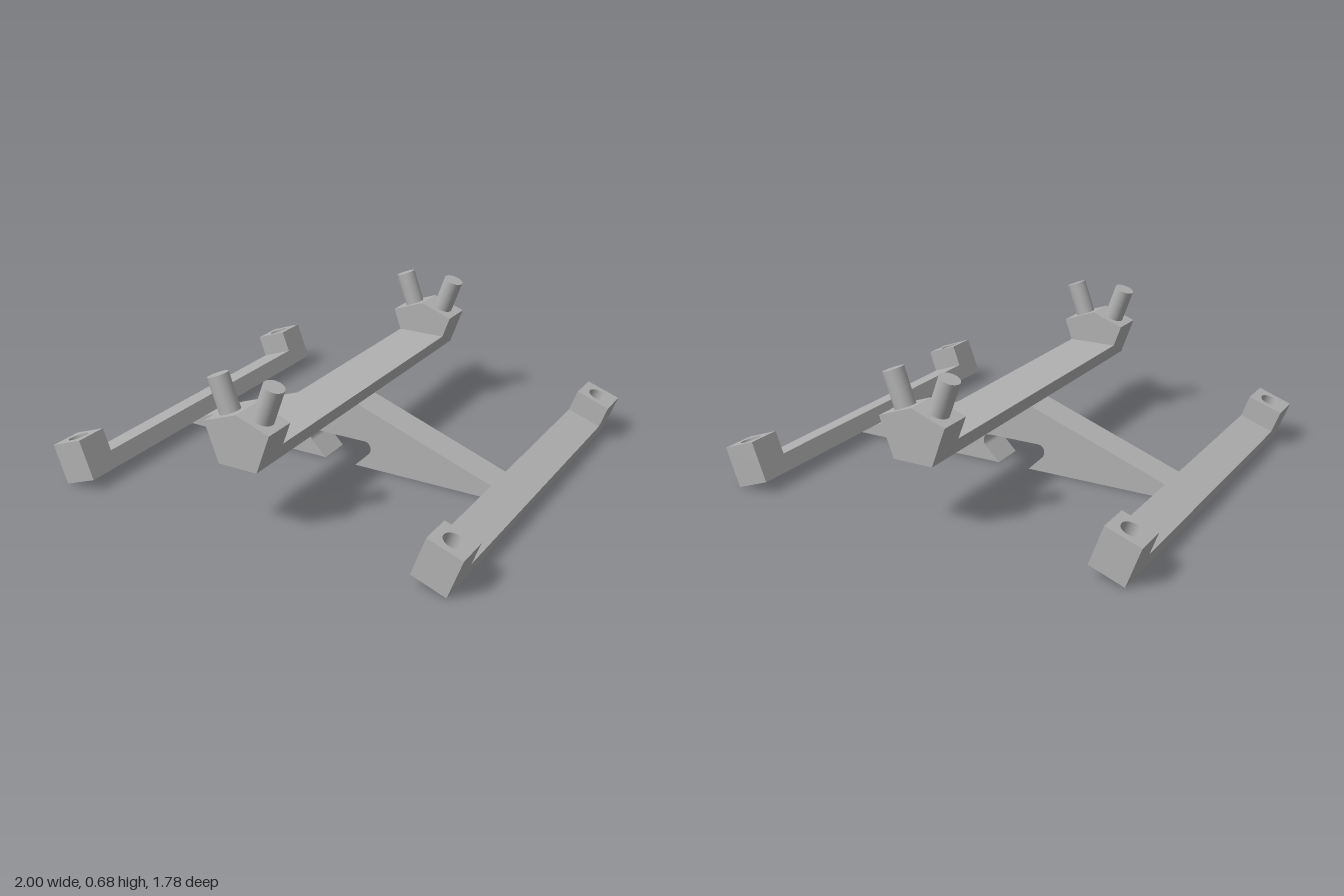
import * as THREE from 'three';

const TILT = THREE.MathUtils.degToRad(20);
const SIN = Math.sin(TILT), COS = Math.cos(TILT), TAN = Math.tan(TILT);
const HALF_LENGTH = 0.89, BLOCK_START = 0.735, PIN_Z = 0.8125;
const RAIL_HEIGHT = 0.08, BLOCK_HEIGHT = 0.187, RAIL_WIDTH = 0.165;
const FOOT_X = 0.936, RIDGE_X = 0.092;
const RIDGE_Y = (FOOT_X - RIDGE_X) * TAN;

function polygon(points) {
  return new THREE.Shape(points.map(([x, y]) => new THREE.Vector2(x, y)));
}

// Extrudes a front profile between two z positions.
function extrudeZ(shape, z0, z1) {
  const geometry = new THREE.ExtrudeGeometry(shape, { depth: z1 - z0, bevelEnabled: false, curveSegments: 8 });
  return geometry.translate(0, 0, z0);
}

// Slab standing up from y0 to y1, with round holes at the given z positions.
function drilledSlab(z0, z1, y0, y1, holes) {
  const shape = polygon([[-RAIL_WIDTH, -z1], [0, -z1], [0, -z0], [-RAIL_WIDTH, -z0]]);
  for (const z of holes) {
    shape.holes.push(new THREE.Path().absarc(-RAIL_WIDTH / 2, -z, 0.045, 0, Math.PI * 2, true));
  }
  const geometry = new THREE.ExtrudeGeometry(shape, { depth: y1 - y0, bevelEnabled: false, curveSegments: 32 });
  return geometry.rotateX(-Math.PI / 2).translate(0, y0, 0);
}

export function createModel() {
  const model = new THREE.Group();
  model.name = 'railFrame';
  const grey = new THREE.MeshStandardMaterial({ color: 0xb0b0b0 });
  grey.name = 'grey';

  function add(parent, name, geometry) {
    const mesh = new THREE.Mesh(geometry, grey);
    mesh.name = name;
    parent.add(mesh);
    return mesh;
  }

  // Cross beam with sloping arms and a notch underneath
  const beam = new THREE.Shape();
  beam.moveTo(-FOOT_X, 0);
  beam.lineTo(-0.08, 0);
  beam.lineTo(-0.15, 0.07);
  beam.quadraticCurveTo(-0.16, 0.08, -0.16, 0.095);
  beam.quadraticCurveTo(-0.16, 0.13, -0.125, 0.13);
  beam.lineTo(0.125, 0.13);
  beam.quadraticCurveTo(0.16, 0.13, 0.16, 0.095);
  beam.quadraticCurveTo(0.16, 0.08, 0.15, 0.07);
  beam.lineTo(0.08, 0);
  beam.lineTo(FOOT_X, 0);
  beam.lineTo(RIDGE_X, RIDGE_Y);
  beam.lineTo(-RIDGE_X, RIDGE_Y);
  add(model, 'crossBeam', extrudeZ(beam, -0.08, 0.08));

  // Centre rail, flaring upward
  const railX = RIDGE_X + RAIL_HEIGHT * SIN, railY = RIDGE_Y + RAIL_HEIGHT * COS;
  const rail = polygon([[-RIDGE_X, RIDGE_Y], [RIDGE_X, RIDGE_Y], [railX, railY], [-railX, railY]]);
  add(model, 'centreRail', extrudeZ(rail, -BLOCK_START, BLOCK_START));

  // Gabled end blocks, each with two splayed pins
  const topX = RIDGE_X + BLOCK_HEIGHT * SIN, topY = RIDGE_Y + BLOCK_HEIGHT * COS;
  const gable = polygon([[-RIDGE_X, RIDGE_Y], [RIDGE_X, RIDGE_Y], [topX, topY],
    [0, topY + topX * TAN], [-topX, topY]]);
  const pinGeometry = new THREE.CylinderGeometry(0.046, 0.046, 0.18, 40).translate(0, 0.07, 0);
  for (const side of [-1, 1]) {
    const [z0, z1] = side > 0 ? [BLOCK_START, HALF_LENGTH] : [-HALF_LENGTH, -BLOCK_START];
    add(model, 'gableBlock', extrudeZ(gable, z0, z1));
    for (const lean of [-1, 1]) {
      const pin = add(model, 'pin', pinGeometry);
      pin.position.set(lean * 0.08, topY + (topX - 0.08) * TAN, side * PIN_Z);
      pin.rotation.z = -lean * TILT;
    }
  }

  // Tilted outer rails with drilled end blocks, repeated by a half turn
  for (const turn of [0, Math.PI]) {
    const half = new THREE.Group();
    half.name = turn ? 'rightRail' : 'leftRail';
    half.rotation.y = turn;
    const tilted = new THREE.Group();
    tilted.name = 'tiltedRail';
    tilted.position.x = FOOT_X;
    tilted.rotation.z = -TILT;
    add(tilted, 'railBar', drilledSlab(-HALF_LENGTH, HALF_LENGTH, 0, RAIL_HEIGHT, [-PIN_Z, PIN_Z]));
    add(tilted, 'frontSocket', drilledSlab(BLOCK_START, HALF_LENGTH, RAIL_HEIGHT, BLOCK_HEIGHT, [PIN_Z]));
    add(tilted, 'backSocket', drilledSlab(-HALF_LENGTH, -BLOCK_START, RAIL_HEIGHT, BLOCK_HEIGHT, [-PIN_Z]));
    half.add(tilted);
    model.add(half);
  }
  return model;
}
